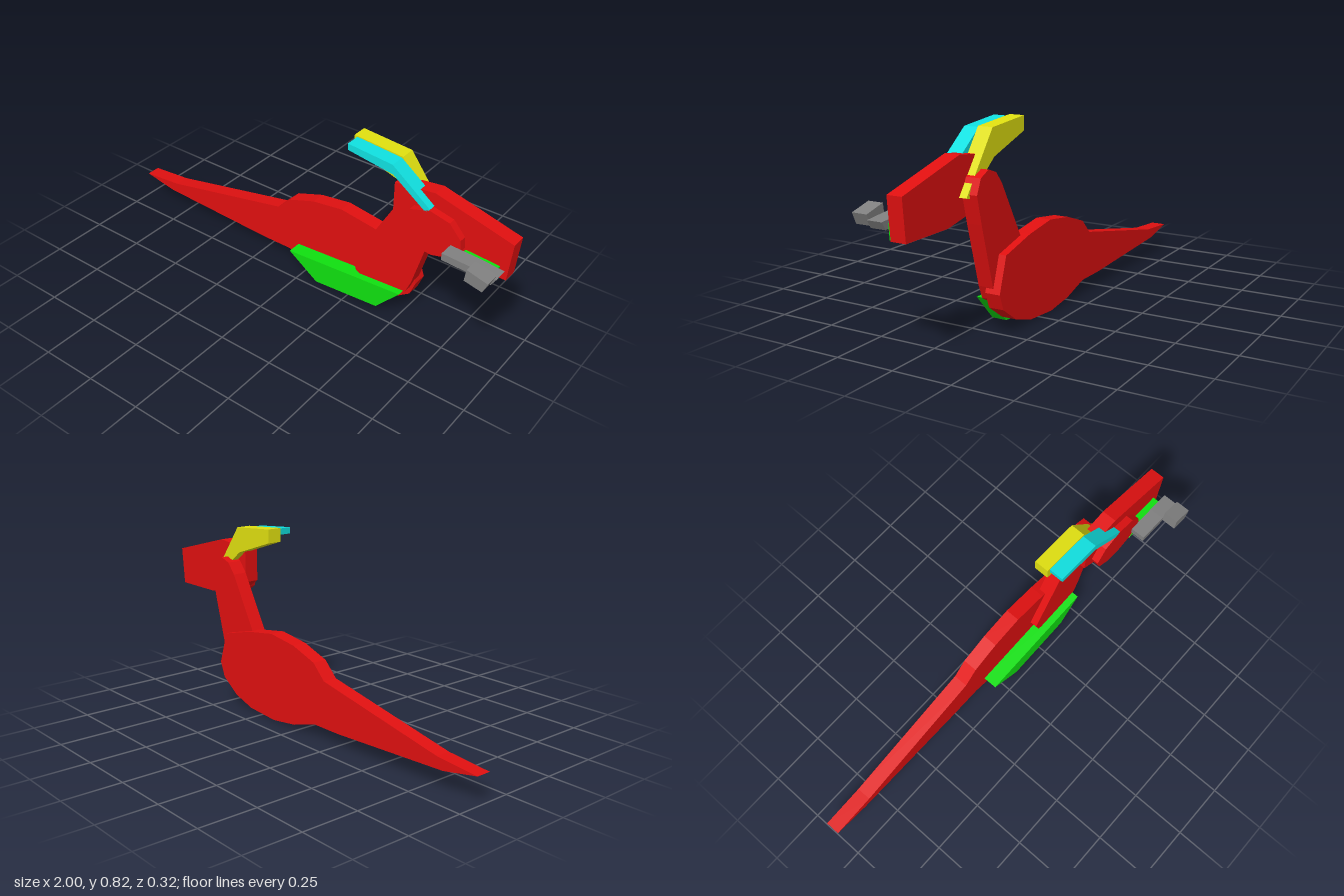
import * as THREE from 'three';

const THICKNESS = 0.065;
const STEP = THICKNESS / 2; // each layer sits half a thickness from the next

const paint = (name, color) => {
  const m = new THREE.MeshStandardMaterial({ color });
  m.name = name;
  return m;
};

// Flat slab: outline in x,y extruded in z, stacked by layer index (0 is the rearmost)
function slab(name, layer, material, outline) {
  const shape = new THREE.Shape(outline.map(([x, y]) => new THREE.Vector2(x, y)));
  const geometry = new THREE.ExtrudeGeometry(shape, { depth: THICKNESS, bevelEnabled: false });
  const mesh = new THREE.Mesh(geometry, material);
  mesh.name = name;
  mesh.position.z = -0.163 + layer * STEP;
  return mesh;
}

export function createModel() {
  const red = paint('red', 0xe01010);
  const green = paint('green', 0x10e010);
  const yellow = paint('yellow', 0xe0e010);
  const cyan = paint('cyan', 0x10e0e0);
  const gray = paint('gray', 0x808080);
  const model = new THREE.Group();
  model.name = 'layeredCreature';

  // Rounded body with a long tapering tail
  model.add(slab('bodyAndTail', 0, red, [
    [-1, 0.118], [-0.837, 0.086], [-0.26, 0.06], [-0.115, 0.06], [0.02, 0.02], [0.16, 0.002],
    [0.326, 0.014], [0.436, 0.048], [0.527, 0.112], [0.553, 0.178], [0.505, 0.322],
    [0.33, 0.366], [0.168, 0.39], [0.02, 0.37], [-0.11, 0.326], [-0.175, 0.262], [-0.805, 0.134],
  ]));

  // Leaning neck with rounded ends
  model.add(slab('neck', 1, red, [
    [0.256, 0.198], [0.275, 0.14], [0.32, 0.11], [0.4, 0.096], [0.47, 0.108], [0.525, 0.145],
    [0.548, 0.2], [0.62, 0.46], [0.648, 0.575], [0.622, 0.635], [0.57, 0.659], [0.52, 0.642],
    [0.48, 0.594],
  ]));

  // Belly plate
  model.add(slab('belly', 2, green, [
    [-0.06, 0.107], [0.088, 0.004], [0.404, 0.024], [0.515, 0.142],
  ]));

  // Rear and front horns
  model.add(slab('rearHorn', 2, yellow, [
    [0.265, 0.76], [0.48, 0.69], [0.645, 0.56], [0.668, 0.565], [0.49, 0.802], [0.265, 0.82],
  ]));
  model.add(slab('frontHorn', 4, cyan, [
    [0.28, 0.787], [0.49, 0.755], [0.643, 0.645], [0.66, 0.665], [0.485, 0.797], [0.278, 0.815],
  ]));

  // Head and rounded cheek
  model.add(slab('head', 3, red, [
    [0.48, 0.55], [0.56, 0.5], [0.74, 0.465], [0.985, 0.465], [1, 0.632], [0.66, 0.722],
    [0.48, 0.7],
  ]));
  model.add(slab('cheek', 4, red, [
    [0.527, 0.567], [0.545, 0.51], [0.6, 0.474], [0.68, 0.463], [0.76, 0.484], [0.805, 0.535],
    [0.8, 0.582], [0.748, 0.64], [0.66, 0.66], [0.572, 0.632],
  ]));

  // Mouth and the two stacked snout pieces
  model.add(slab('mouth', 4, green, [
    [0.755, 0.468], [0.95, 0.457], [0.955, 0.518], [0.81, 0.528],
  ]));
  model.add(slab('innerSnout', 6, gray, [
    [0.76, 0.515], [0.9, 0.508], [0.97, 0.498], [0.99, 0.53], [0.89, 0.54], [0.76, 0.546],
  ]));
  model.add(slab('outerSnout', 8, gray, [
    [0.893, 0.522], [0.97, 0.505], [0.99, 0.55], [0.9, 0.574],
  ]));

  return model;
}
